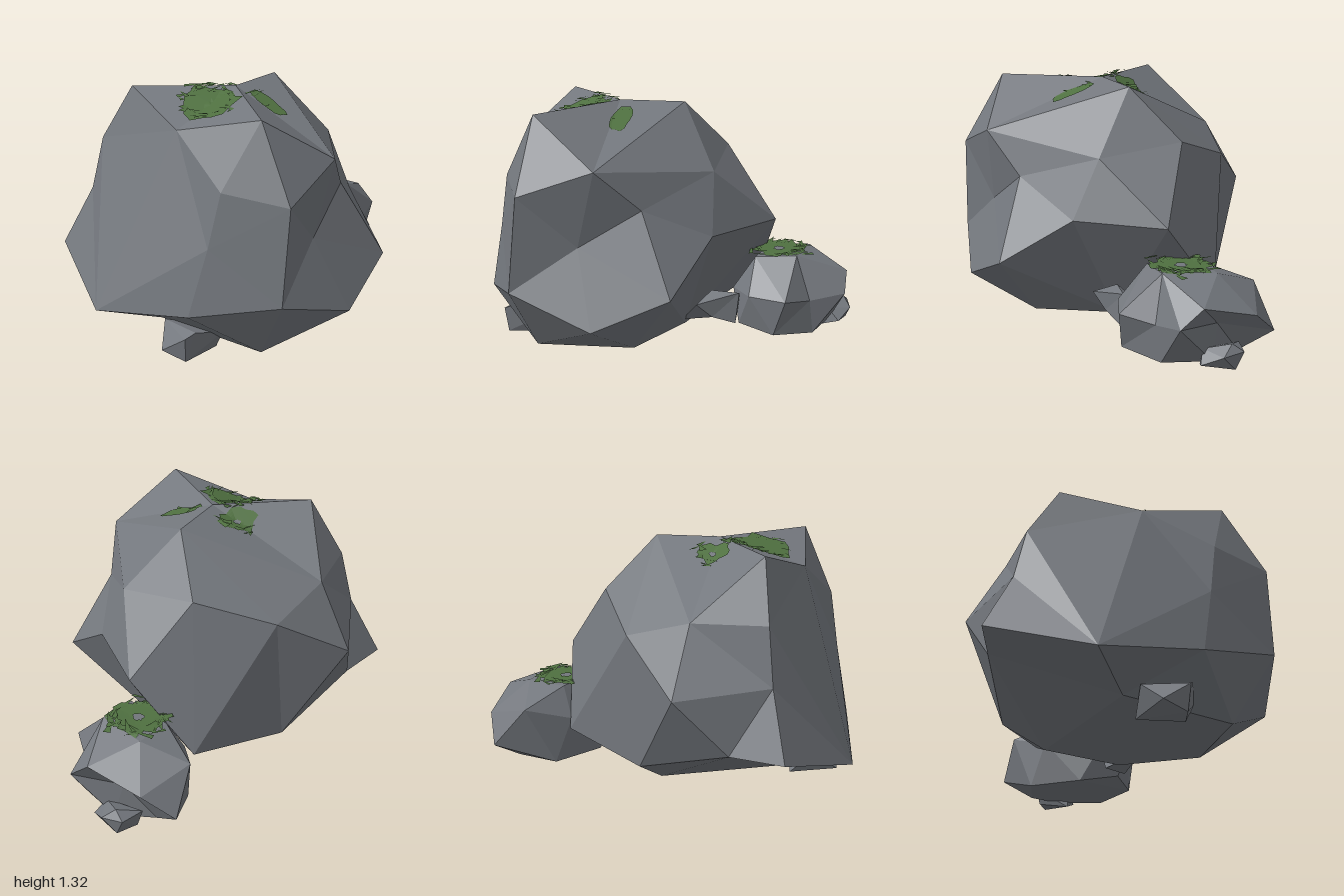
import * as THREE from 'three';
import { ConvexGeometry } from 'three/addons/geometries/ConvexGeometry.js';

const rockMat = new THREE.MeshStandardMaterial({ color: 0x74787e, flatShading: true });
const mossMat = new THREE.MeshStandardMaterial({ color: 0x4f7040, flatShading: true, side: THREE.DoubleSide });

let seed = 7;
const rand = (a, b) => {
  seed = (seed * 16807) % 2147483647;
  return a + (b - a) * (seed / 2147483647);
};

// Faceted rock: corners are joined as directions on a sphere around the centre,
// then pushed out to their own distance, so shallow dents survive.
function rock(name, centre, corners) {
  const c = new THREE.Vector3(...centre);
  const pts = corners.map(p => new THREE.Vector3(...p));
  const dirs = pts.map(p => p.clone().sub(c).normalize());
  const geo = new ConvexGeometry(dirs);
  const pos = geo.attributes.position;
  const v = new THREE.Vector3();
  for (let i = 0; i < pos.count; i++) {
    v.fromBufferAttribute(pos, i);
    let best = 0;
    dirs.forEach((d, k) => { if (d.dot(v) > dirs[best].dot(v)) best = k; });
    pos.setXYZ(i, pts[best].x, pts[best].y, pts[best].z);
  }
  geo.computeVertexNormals();
  const mesh = new THREE.Mesh(geo, rockMat);
  mesh.name = name;
  return mesh;
}

// Height of a rock's upper surface at (x, z), never below the floor
function heightOn(mesh, x, z, floor) {
  const ray = new THREE.Raycaster(new THREE.Vector3(x, 3, z), new THREE.Vector3(0, -1, 0));
  const hit = ray.intersectObject(mesh)[0];
  return hit ? Math.max(hit.point.y, floor) : floor;
}

// Moss: a ragged sheet draped on the rock, fringed with small blades
function moss(name, base, { x: cx, z: cz, rx, rz, turn = 0, blades, hole = 0, floor }) {
  const group = new THREE.Group();
  group.name = name;
  const at = (a, r) => {
    const u = Math.cos(a) * r * rx, w = Math.sin(a) * r * rz;
    return [cx + u * Math.cos(turn) - w * Math.sin(turn), cz + u * Math.sin(turn) + w * Math.cos(turn)];
  };
  const sheet = new THREE.RingGeometry(hole, 1, 16, 4);
  const rim = Array.from({ length: 16 }, () => rand(0.68, 1));
  const pos = sheet.attributes.position;
  for (let i = 0; i < pos.count; i++) {
    const r = Math.hypot(pos.getX(i), pos.getY(i));
    const a = (i % 17) / 16 * Math.PI * 2;
    const [x, z] = at(a, r * rim[(i % 17) % 16]);
    pos.setXYZ(i, x, heightOn(base, x, z, floor) + 0.006, z);
  }
  sheet.computeVertexNormals();
  const sheetMesh = new THREE.Mesh(sheet, mossMat);
  sheetMesh.name = 'mossSheet';
  group.add(sheetMesh);

  const tri = [];
  for (let i = 0; i < blades; i++) {
    const a = rand(0, Math.PI * 2), r = rand(0.6, 1);
    const [x, z] = at(a, r);
    const y = heightOn(base, x, z, floor);
    const t = a + Math.PI / 2 + rand(-0.9, 0.9), len = rand(0.03, 0.06), w = rand(0.01, 0.02);
    const dx = Math.cos(t), dz = Math.sin(t);
    tri.push(x - dx * len - dz * w, y + rand(0, 0.012), z - dz * len + dx * w,
      x + dx * len, y + rand(0, 0.022), z + dz * len,
      x - dx * len + dz * w, y + rand(0, 0.012), z - dz * len - dx * w);
  }
  const fringe = new THREE.BufferGeometry();
  fringe.setAttribute('position', new THREE.Float32BufferAttribute(tri, 3));
  fringe.computeVertexNormals();
  const fringeMesh = new THREE.Mesh(fringe, mossMat);
  fringeMesh.name = 'mossFringe';
  group.add(fringeMesh);
  return group;
}

export function createModel() {
  const model = new THREE.Group();
  model.name = 'mossyRocks';

  // Main boulder, from the top down
  const top = [
    [-0.64, 1.3, -0.19], [-0.3, 1.29, 0.625], [0.15, 1.295, -0.11], [-0.16, 1.3, 0.05],
    [-0.575, 1.17, 0.24], [0.09, 1.045, 0.655], [0.265, 1.03, -0.39], [0.415, 0.97, 0.03],
    [-0.45, 1.0, -0.53], [-0.77, 1.0, -0.32], [-0.505, 0.95, 0.6], [-0.255, 0.91, 0.84],
    [-0.1, 0.89, -0.61], [0.245, 0.83, 0.46], [-0.83, 0.71, -0.36],
  ];
  const lower = [
    [-0.02, 0.64, 0.645], [-0.57, 0.66, 0.58], [0.485, 0.66, 0.16], [0.605, 0.66, -0.325],
    [-0.5, 0.66, -0.72], [-0.305, 0.405, 0.855], [0.47, 0.42, 0.545], [-0.98, 0.38, -0.455],
    [-0.69, 0.37, -0.52], [-0.67, 0.3, 0.55], [0.135, 0.25, 0.76], [-1, 0.215, 0.11],
    [-0.17, 0.2, -0.6], [0.38, 0.26, -0.57], [-0.305, 0.055, 0.63], [0.155, 0.055, 0.4],
    [0.2, 0.06, -0.05], [-0.12, 0.06, -0.38], [-0.65, 0.11, 0.15],
  ];
  const boulder = rock('boulder', [-0.2, 0.62, 0], [...top, ...lower]);

  // Smaller rock at the back left
  const sideRock = rock('sideRock', [0.66, 0.25, -0.42], [
    [0.75, 0.48, -0.3], [0.7, 0.47, -0.57], [0.5, 0.46, -0.5], [0.54, 0.46, -0.22],
    [0.53, 0.38, -0.76], [0.96, 0.38, -0.5], [0.82, 0.3, -0.76], [0.8, 0.25, -0.57],
    [1.0, 0.285, -0.39], [0.85, 0.25, -0.27], [0.79, 0.28, -0.09], [0.58, 0.28, -0.075],
    [0.41, 0.3, -0.53], [0.42, 0.27, -0.2], [0.68, 0.17, -0.86], [0.41, 0.06, -0.32],
    [0.45, 0.06, -0.62], [0.68, 0.06, -0.68], [0.85, 0.07, -0.55], [0.86, 0.06, -0.3],
    [0.72, 0.08, -0.1], [0.5, 0.1, -0.12],
  ]);

  // Pebbles around the foot
  const frontPebble = rock('frontPebble', [-0.58, 0.08, 0.36], [
    [-0.74, 0.04, 0.36], [-0.65, 0, 0.46], [-0.46, 0.025, 0.42], [-0.42, 0.1, 0.34],
    [-0.6, 0.165, 0.48], [-0.66, 0.14, 0.48], [-0.55, 0.02, 0.19], [-0.67, 0.15, 0.24],
    [-0.44, 0.12, 0.46],
  ]);
  const sidePebble = rock('sidePebble', [0.86, 0.1, -0.59], [
    [0.78, 0.025, -0.49], [0.93, 0.08, -0.49], [0.95, 0.13, -0.6], [0.89, 0.18, -0.64],
    [0.89, 0.14, -0.7], [0.76, 0.14, -0.68], [0.9, 0.05, -0.66], [0.78, 0.05, -0.66],
    [0.86, 0.14, -0.5],
  ]);
  const shard = rock('shard', [0.4, 0.19, -0.05], [
    [0.34, 0.23, 0.07], [0.36, 0.28, -0.06], [0.51, 0.28, -0.1], [0.2, 0.09, -0.02],
    [0.32, 0.09, -0.15], [0.5, 0.11, -0.08], [0.4, 0.15, 0], [0.46, 0.2, -0.2],
  ]);
  model.add(boulder, sideRock, frontPebble, sidePebble, shard);

  // Moss patches
  model.add(
    moss('mossLeft', boulder, { x: -0.35, z: 0.16, rx: 0.16, rz: 0.2, turn: 0.1, blades: 36, floor: 1.1 }),
    moss('mossBack', boulder, { x: -0.22, z: -0.09, rx: 0.13, rz: 0.08, turn: 0.2, blades: 8, hole: 0.2, floor: 1.1 }),
    moss('mossRight', boulder, { x: -0.05, z: 0.21, rx: 0.07, rz: 0.14, turn: -0.35, blades: 3, floor: 1.1 }),
    moss('mossSideRock', sideRock, { x: 0.6, z: -0.39, rx: 0.17, rz: 0.17, blades: 46, hole: 0.2, floor: 0.47 }),
  );
  return model;
}
